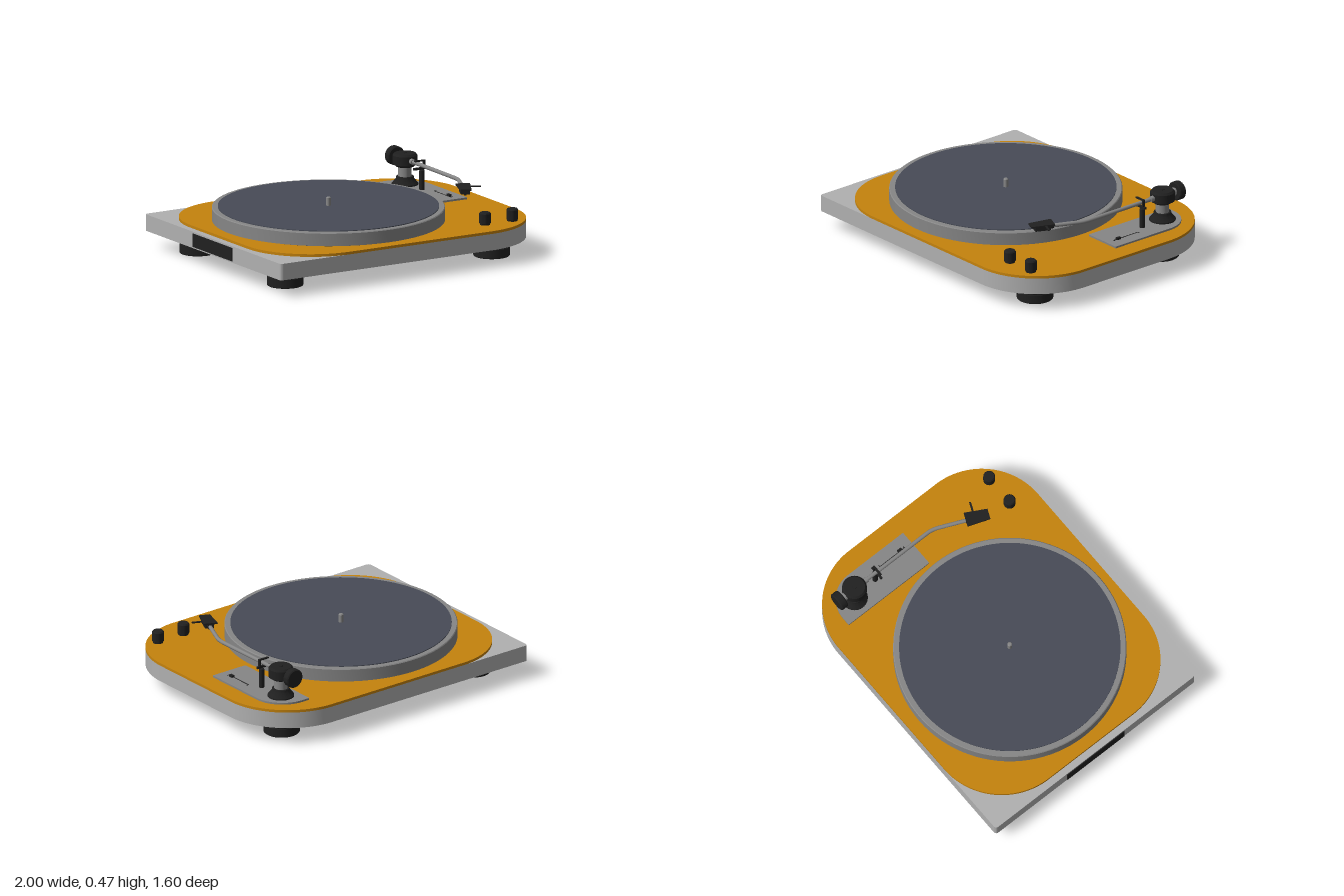
import * as THREE from 'three';
import { toCreasedNormals } from 'three/addons/utils/BufferGeometryUtils.js';

const material = (name, color, side = THREE.FrontSide) => {
  const m = new THREE.MeshStandardMaterial({ color, side });
  m.name = name;
  return m;
};

export function createModel() {
  const silver = material('silver', 0xb0b0b0);
  const grey = material('metal grey', 0x868686);
  const orange = material('orange', 0xc5830d);
  const slate = material('slate mat', 0x474b56);
  const black = material('black', 0x202020);
  const model = new THREE.Group();
  model.name = 'turntable';

  const add = (name, geometry, mat, x = 0, y = 0, z = 0, parent = model) => {
    const mesh = new THREE.Mesh(geometry, mat);
    mesh.name = name;
    mesh.position.set(x, y, z);
    parent.add(mesh);
    return mesh;
  };
  const box = (name, mat, size, pos, parent) =>
    add(name, new THREE.BoxGeometry(...size), mat, ...pos, parent);

  // Turned solid from [radius, height] pairs, closed at both ends
  const turned = (profile, segments = 48) => {
    const pts = [[0, profile[0][1]], ...profile, [0, profile.at(-1)[1]]];
    const g = new THREE.LatheGeometry(pts.map(p => new THREE.Vector2(...p)), segments);
    return toCreasedNormals(g, 0.5);
  };

  // Horizontal slab; corner radii run back left, back right, front right, front left
  const slab = (x0, x1, z0, z1, radii, height) => {
    const [bl, br, fr, fl] = radii;
    const s = new THREE.Shape();
    s.moveTo(x0 + fl, -z1);
    s.lineTo(x1 - fr, -z1);
    s.absarc(x1 - fr, -z1 + fr, fr, -Math.PI / 2, 0, false);
    s.lineTo(x1, -z0 - br);
    s.absarc(x1 - br, -z0 - br, br, 0, Math.PI / 2, false);
    s.lineTo(x0 + bl, -z0);
    s.absarc(x0 + bl, -z0 - bl, bl, Math.PI / 2, Math.PI, false);
    s.lineTo(x0, -z1 + fl);
    s.absarc(x0 + fl, -z1 + fl, fl, Math.PI, Math.PI * 1.5, false);
    const g = new THREE.ExtrudeGeometry(s, { depth: height, bevelEnabled: false, curveSegments: 24 });
    g.rotateX(-Math.PI / 2);
    return toCreasedNormals(g, 0.5);
  };

  // Plinth, top plate and connection panel
  add('plinth', slab(-0.995, 1, -0.8, 0.8, [0.02, 0.45, 0.45, 0.02], 0.105), silver, 0, 0.11, 0);
  add('topPlate', slab(-0.95, 1, -0.8, 0.8, [0.46, 0.45, 0.45, 0.46], 0.017), orange, 0, 0.215, 0);
  box('connectionPanel', black, [0.008, 0.085, 0.46], [-0.996, 0.162, 0]);

  // Feet
  for (const x of [-0.785, 0.725]) for (const z of [-0.515, 0.515]) {
    add('foot', turned([[0.109, 0], [0.114, 0.005], [0.114, 0.058], [0.111, 0.06],
      [0.111, 0.064], [0.114, 0.066], [0.114, 0.11]]), black, x, 0, z);
  }

  // Platter, mat and spindle
  add('platter', turned([[0.71, 0.232], [0.725, 0.236], [0.725, 0.315], [0.72, 0.32]], 96), grey, -0.15, 0, 0.003);
  add('mat', turned([[0.688, 0.319], [0.688, 0.325]], 96), slate, -0.15, 0, 0.003);
  add('spindle', turned([[0.015, 0.32], [0.015, 0.374], [0.01, 0.38]], 20), grey, -0.15, 0, 0.003);

  // Control knobs
  for (const x of [0.61, 0.81]) {
    add('knob', turned([[0.032, 0.232], [0.032, 0.24], [0.037, 0.243], [0.037, 0.303], [0.031, 0.311]], 28),
      black, x, 0, 0.622);
  }

  // Tonearm mounting plate with its lift slot and slider
  add('tonearmPlate', slab(0.62, 0.877, -0.66, -0.015, [0.005, 0.2, 0.005, 0.005], 0.012), grey, 0, 0.232, 0);
  box('liftSlot', black, [0.006, 0.002, 0.2], [0.793, 0.2445, -0.17]);
  for (const z of [-0.268, -0.072]) box('liftSlotEnd', black, [0.016, 0.002, 0.005], [0.798, 0.2445, z]);
  box('liftSlider', black, [0.018, 0.014, 0.03], [0.798, 0.251, -0.105]);

  // Tonearm pivot
  const arm = new THREE.Group();
  arm.name = 'tonearm';
  model.add(arm);
  const px = 0.735, pz = -0.52, armY = 0.405;
  add('pivotBase', turned([[0.083, 0.244], [0.083, 0.252], [0.058, 0.282], [0.054, 0.298]]), black, px, 0, pz, arm);
  add('pivotPost', turned([[0.042, 0.297], [0.042, 0.365]], 32), grey, px, 0, pz, arm);
  add('pivotHousing', turned([[0.055, 0.36], [0.068, 0.372], [0.077, 0.375], [0.077, 0.432],
    [0.066, 0.445]]), black, px, 0, pz, arm);
  add('pivotScrew', turned([[0.014, 0.444], [0.014, 0.45]], 20), black, px, 0, pz, arm);

  // Counterweight on its stub
  const stub = add('counterweightStub', turned([[0.026, 0], [0.026, 0.08]], 24), grey, px, armY, -0.56, arm);
  const weight = add('counterweight', turned([[0.054, 0], [0.06, 0.006], [0.06, 0.043], [0.054, 0.049]]),
    black, px, armY, -0.617, arm);
  stub.rotation.x = weight.rotation.x = -Math.PI / 2;

  // Bent arm tube with a collar at the pivot
  const v = (x, z) => new THREE.Vector3(x, armY - (z + 0.45) * 0.005, z);
  const path = new THREE.CurvePath();
  path.add(new THREE.LineCurve3(v(px, -0.47), v(px, 0.06)));
  path.add(new THREE.QuadraticBezierCurve3(v(px, 0.06), v(px, 0.105), v(0.717, 0.145)));
  path.add(new THREE.LineCurve3(v(0.717, 0.145), v(0.64, 0.32)));
  add('armTube', new THREE.TubeGeometry(path, 64, 0.0125, 16), grey, 0, 0, 0, arm);
  const collar = add('armCollar', turned([[0.018, 0], [0.018, 0.03]], 24), grey, px, armY, -0.45, arm);
  collar.rotation.x = Math.PI / 2;

  // Headshell: tapered top plate, cartridge, finger lift and stylus
  const head = new THREE.Group();
  head.name = 'headshell';
  head.position.set(0.647, 0.4, 0.3);
  head.rotation.y = -0.41;
  arm.add(head);
  const plate = new THREE.Shape();
  plate.moveTo(-0.046, 0);
  plate.lineTo(-0.034, -0.15);
  plate.lineTo(0.034, -0.15);
  plate.lineTo(0.046, 0);
  const plateGeo = new THREE.ExtrudeGeometry(plate, { depth: 0.01, bevelEnabled: false });
  plateGeo.rotateX(-Math.PI / 2);
  add('headshellPlate', plateGeo, black, 0, 0.017, 0, head).rotation.x = 0.04;
  box('cartridge', black, [0.055, 0.034, 0.1], [0, 0, 0.073], head);
  const socket = add('headshellSocket', turned([[0.019, 0], [0.019, 0.035]], 20), black, 0, 0.002, 0, head);
  socket.rotation.x = Math.PI / 2;
  box('fingerLift', black, [0.075, 0.007, 0.012], [0.068, 0.018, 0.058], head);
  box('stylus', black, [0.012, 0.012, 0.02], [0, -0.02, 0.105], head);

  // Arm rest: post, cradle and clip
  const rest = new THREE.Group();
  rest.name = 'armRest';
  model.add(rest);
  add('restPost', turned([[0.017, 0.243], [0.017, 0.365], [0.013, 0.37]], 24), black, 0.748, 0, -0.343, rest);
  box('restCradle', black, [0.095, 0.014, 0.014], [px, 0.381, -0.34], rest);
  box('restHook', black, [0.012, 0.055, 0.014], [0.762, 0.406, -0.34], rest);
  box('restClip', black, [0.075, 0.008, 0.014], [0.732, 0.43, -0.34], rest);

  return model;
}
